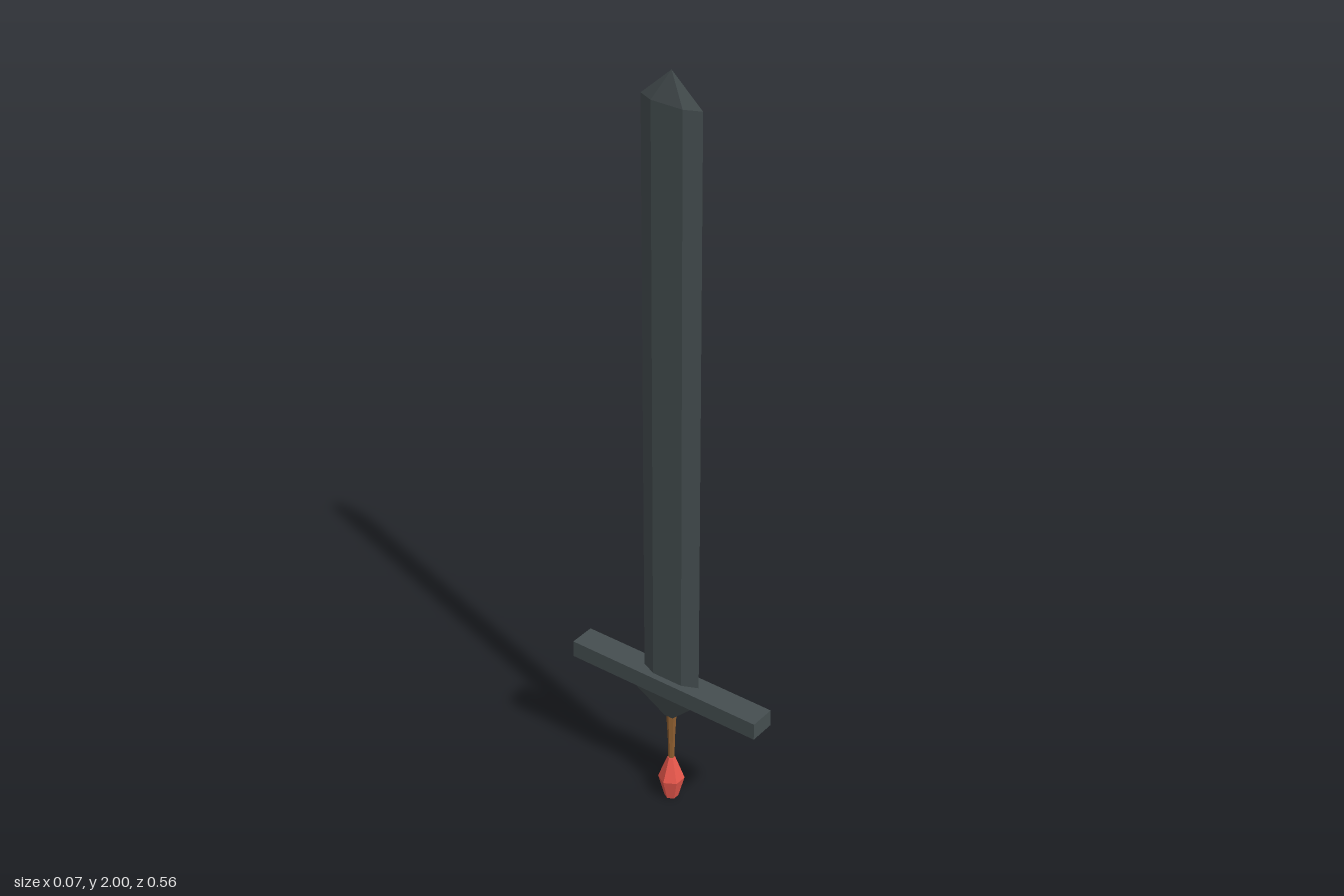
import * as THREE from 'three';

const steel = new THREE.MeshStandardMaterial({ color: 0x454e50, flatShading: true });
const leather = new THREE.MeshStandardMaterial({ color: 0x8f5f30, flatShading: true });
const gem = new THREE.MeshStandardMaterial({ color: 0xe8584c, flatShading: true });

const CENTRE_Z = 0.004; // blade and handle axis

// Skin a stack of equal-length [x, z] outlines, given bottom to top, with end caps.
function loft(sections) {
  const pos = [];
  const n = sections[0].outline.length;
  const at = (s, i) => [s.outline[i % n][0], s.y, s.outline[i % n][1]];
  for (let k = 0; k < sections.length - 1; k++) {
    const lo = sections[k], hi = sections[k + 1];
    for (let i = 0; i < n; i++) {
      const a = at(lo, i), b = at(lo, i + 1), c = at(hi, i + 1), d = at(hi, i);
      pos.push(...a, ...c, ...b, ...a, ...d, ...c);
    }
  }
  const first = sections[0], last = sections[sections.length - 1];
  for (let i = 1; i < n - 1; i++) {
    pos.push(...at(first, 0), ...at(first, i), ...at(first, i + 1));
    pos.push(...at(last, 0), ...at(last, i + 1), ...at(last, i));
  }
  const g = new THREE.BufferGeometry();
  g.setAttribute('position', new THREE.Float32BufferAttribute(pos, 3));
  g.computeVertexNormals();
  return g;
}

// Six-sided turned shape with corners on the x axis.
function turned(profile) {
  const points = profile.map(([r, y]) => new THREE.Vector2(r, y));
  return new THREE.LatheGeometry(points, 6, Math.PI / 6);
}

// Outlines run from +x towards +z
const rect = (x, z) => [[x, -z], [x, z], [-x, z], [-x, -z]];
const bladeOutline = (s) =>
  [[0.018, -0.043], [0.018, 0.043], [0, 0.084], [-0.018, 0.043], [-0.018, -0.043], [0, -0.084]]
    .map(([x, z]) => [x * s, z * s]);

export function createModel() {
  const sword = new THREE.Group();
  sword.name = 'sword';

  const add = (name, geometry, material, y = 0, z = CENTRE_Z) => {
    const mesh = new THREE.Mesh(geometry, material);
    mesh.name = name;
    mesh.position.set(0, y, z);
    sword.add(mesh);
  };

  // Flat hexagonal blade drawn to a point
  add('blade', loft([
    { y: 0.37, outline: bladeOutline(1) },
    { y: 1.925, outline: bladeOutline(1) },
    { y: 2, outline: bladeOutline(0.001) },
  ]), steel);

  // Crossguard bar and the tapered collar beneath it
  add('crossguard', new THREE.BoxGeometry(0.07, 0.046, 0.56), steel, 0.358, 0);
  add('guardCollar', loft([
    { y: 0.26, outline: rect(0.012, 0.012) },
    { y: 0.335, outline: rect(0.035, 0.084) },
  ]), steel);

  // Slim grip, slightly waisted towards the pommel
  add('grip', turned([[0.008, 0.115], [0.009, 0.18], [0.013, 0.262]]), leather);

  // Faceted pommel
  add('pommel', turned([[0, 0], [0.018, 0], [0.034, 0.06], [0.01, 0.125], [0, 0.125]]), gem);

  return sword;
}
